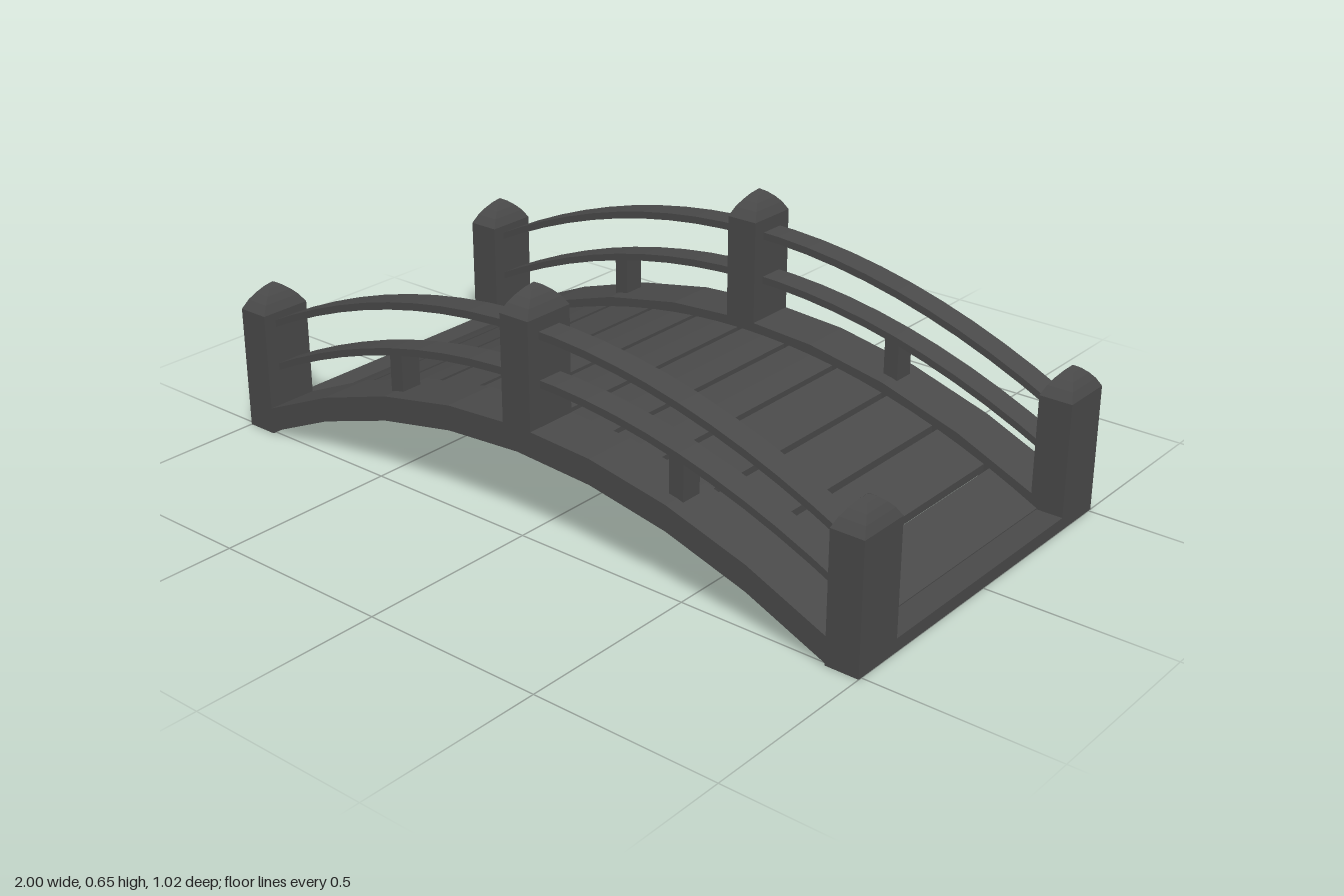
import * as THREE from 'three';

const wood = new THREE.MeshStandardMaterial({ color: 0x4a4a4a, flatShading: true });
const CURVE = 0.272; // every arched part follows y = crown - CURVE * x^2
const SIDE_Z = 0.437; // centre line of each railing

export function createModel() {
  const bridge = new THREE.Group();
  bridge.name = 'archedFootbridge';

  const add = (name, geometry, x, y, z) => {
    const mesh = new THREE.Mesh(geometry, wood);
    mesh.name = name;
    mesh.position.set(x, y, z);
    bridge.add(mesh);
  };

  // Slice of the arch between x0 and x1, with crown heights bottom and top
  const arch = (name, x0, x1, bottom, top, depth, z, steps) => {
    const points = [];
    for (let i = 0; i <= steps; i++) {
      const x = x0 + ((x1 - x0) * i) / steps;
      points.push(new THREE.Vector2(x, bottom - CURVE * x * x));
    }
    for (let i = steps; i >= 0; i--) {
      const x = x0 + ((x1 - x0) * i) / steps;
      points.push(new THREE.Vector2(x, top - CURVE * x * x));
    }
    const geometry = new THREE.ExtrudeGeometry(new THREE.Shape(points), { depth, bevelEnabled: false });
    add(name, geometry, 0, 0, z - depth / 2);
  };

  // Four-sided cap with bulging faces
  const capProfile = [[1, 0], [0.77, 0.36], [0.54, 0.61], [0.27, 0.84], [0, 1]]
    .map(([r, h]) => new THREE.Vector2(r * Math.SQRT2, h));
  const post = (name, x, bottom, shoulder, z) => {
    const height = shoulder - bottom;
    add(name, new THREE.BoxGeometry(0.09, height, 0.146), x, bottom + height / 2, z);
    const cap = new THREE.LatheGeometry(capProfile, 4, Math.PI / 4);
    cap.scale(0.045, 0.068, 0.073);
    add(name + 'Cap', cap, x, shoulder, z);
  };

  for (const side of [1, -1]) {
    const z = side * SIDE_Z;
    // Side beam and two curved rails
    arch('sideBeam', -0.92, 0.92, 0.232, 0.3, 0.146, z, 8);
    arch('middleRail', -0.93, 0.93, 0.4, 0.42, 0.072, z, 20);
    arch('topRail', -0.93, 0.93, 0.525, 0.545, 0.072, z, 20);
    // Posts and short struts
    post('centrePost', 0, 0.232, 0.58, z);
    for (const end of [1, -1]) {
      post('endPost', end * 0.955, 0, 0.34, z);
      add('railStrut', new THREE.BoxGeometry(0.042, 0.125, 0.06), end * 0.456, 0.292, z);
    }
  }

  // Deck planks following the arch
  for (let i = 0; i < 12; i++) {
    const x = (i - 5.5) * 0.156;
    arch('deckPlank', x - 0.07, x + 0.07, 0.25, 0.272, 0.74, 0, 2);
  }

  // Flat sills at both ends of the deck
  for (const end of [1, -1]) {
    add('endSill', new THREE.BoxGeometry(0.09, 0.035, 0.74), end * 0.955, 0.0175, 0);
  }
  return bridge;
}
